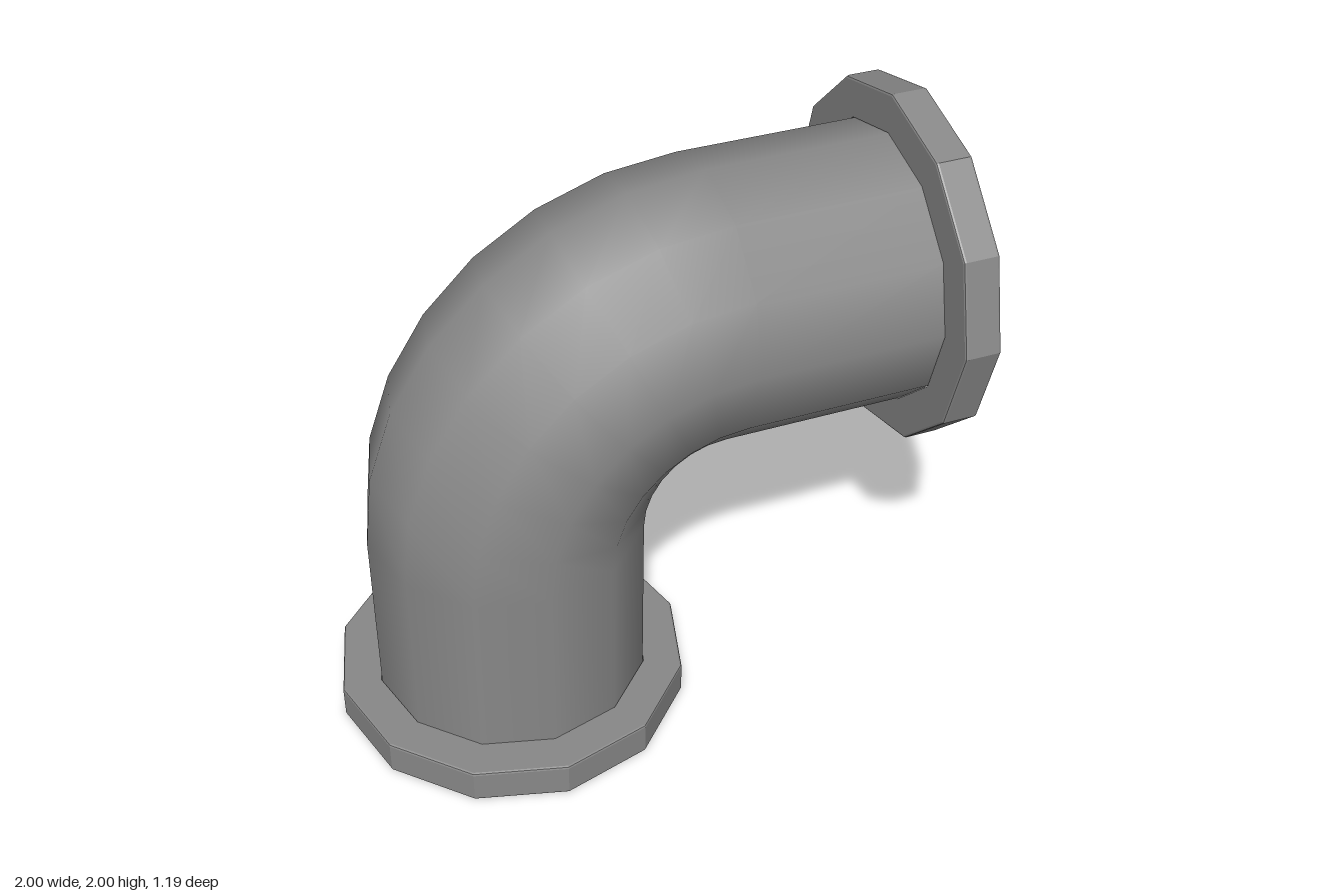
import * as THREE from 'three';

const SIDES = 12;
const COLOR = 0x888888;
const PIPE_R = 0.46, FLANGE_R = 0.595, FLANGE_T = 0.12;
const AXIS_X = -0.407, AXIS_Y = 1.407;     // centre lines of the two straight runs
const BEND_X = 0.27, BEND_Y = 0.73, BEND_R = 0.677, BEND_STEPS = 7;
const RECESS = 0.11;                       // depth of the end caps inside the flanges

// Smooth twelve-sided elbow: circular sections swept up, round the bend and out to +x
function elbowGeometry() {
  const sections = [{ x: AXIS_X, y: RECESS, t: 0 }];
  for (let i = 0; i <= BEND_STEPS; i++) {
    const t = (i / BEND_STEPS) * Math.PI / 2;
    sections.push({ x: BEND_X - BEND_R * Math.cos(t), y: BEND_Y + BEND_R * Math.sin(t), t });
  }
  sections.push({ x: 1 - RECESS, y: AXIS_Y, t: Math.PI / 2 });

  const positions = [], normals = [], index = [];
  sections.forEach(({ x, y, t }, i) => {
    for (let j = 0; j <= SIDES; j++) {
      const a = (j / SIDES) * Math.PI * 2;
      const n = [-Math.cos(t) * Math.cos(a), Math.sin(t) * Math.cos(a), Math.sin(a)];
      normals.push(...n);
      positions.push(x + PIPE_R * n[0], y + PIPE_R * n[1], PIPE_R * n[2]);
      if (i > 0 && j < SIDES) {
        const q = i * (SIDES + 1) + j, p = q - SIDES - 1;
        index.push(p, p + 1, q, p + 1, q + 1, q);
      }
    }
  });
  const geometry = new THREE.BufferGeometry();
  geometry.setAttribute('position', new THREE.Float32BufferAttribute(positions, 3));
  geometry.setAttribute('normal', new THREE.Float32BufferAttribute(normals, 3));
  geometry.setIndex(index);
  return geometry;
}

// Flange ring with small rounded rims, outer face at y = 0, plus a recessed cap
function createEnd(name) {
  const end = new THREE.Group();
  end.name = name;
  const b = 0.008, m = b * 0.29, inner = PIPE_R + 0.003;
  const profile = [
    [inner, 0], [FLANGE_R - b, 0], [FLANGE_R - m, m], [FLANGE_R, b],
    [FLANGE_R, FLANGE_T - b], [FLANGE_R - m, FLANGE_T - m], [FLANGE_R - b, FLANGE_T],
    [inner, FLANGE_T], [inner, 0],
  ].map(([r, y]) => new THREE.Vector2(r, y));
  const ring = new THREE.Mesh(
    new THREE.LatheGeometry(profile, SIDES),
    new THREE.MeshStandardMaterial({ color: COLOR, flatShading: true, side: THREE.DoubleSide })
  );
  ring.name = 'flangeRing';

  const cap = new THREE.Mesh(
    new THREE.CircleGeometry(inner, SIDES),
    new THREE.MeshStandardMaterial({ color: COLOR })
  );
  cap.name = 'endCap';
  cap.rotation.x = Math.PI / 2;
  cap.position.y = RECESS;
  end.add(ring, cap);
  return end;
}

export function createModel() {
  const model = new THREE.Group();
  model.name = 'pipeElbow';

  const pipe = new THREE.Mesh(elbowGeometry(), new THREE.MeshStandardMaterial({ color: COLOR }));
  pipe.name = 'pipe';

  const bottom = createEnd('bottomFlange');
  bottom.position.x = AXIS_X;

  // Side flange: outer face turned to +x
  const side = createEnd('sideFlange');
  side.rotation.z = Math.PI / 2;
  side.position.set(1, AXIS_Y, 0);

  model.add(pipe, bottom, side);
  return model;
}
